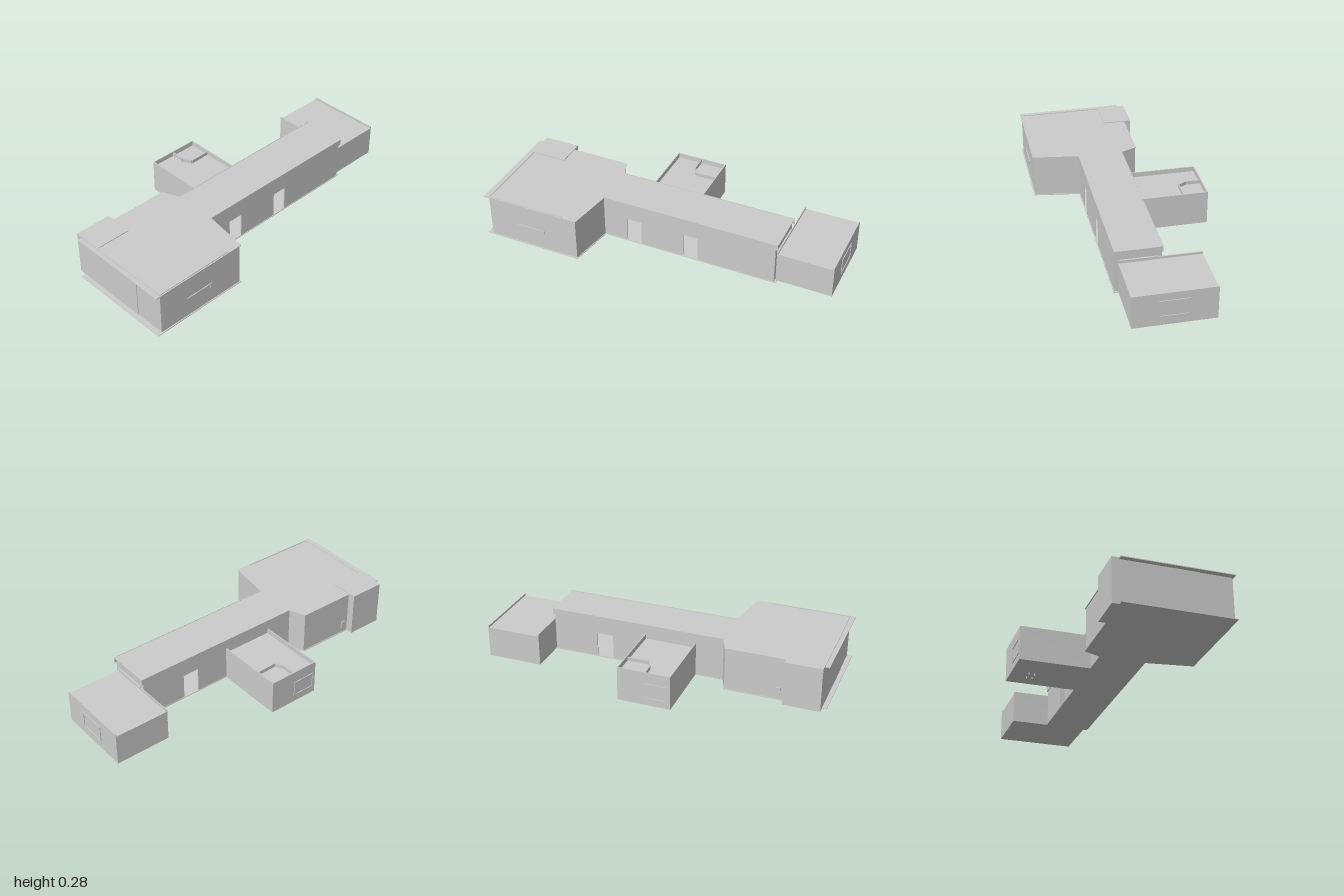
import * as THREE from 'three';

const material = new THREE.MeshStandardMaterial({ color: 0xcccccc, flatShading: true, side: THREE.DoubleSide });
const FLOOR = 0.012;

function add(parent, name, geometry, x = 0, y = 0, z = 0) {
  const mesh = new THREE.Mesh(geometry, material);
  mesh.name = name;
  mesh.position.set(x, y, z);
  parent.add(mesh);
  return mesh;
}

// Box given by its minimum and maximum corners
function block(parent, name, [x0, y0, z0], [x1, y1, z1]) {
  return add(parent, name, new THREE.BoxGeometry(x1 - x0, y1 - y0, z1 - z0),
    (x0 + x1) / 2, (y0 + y1) / 2, (z0 + z1) / 2);
}

function outline(points, Type = THREE.Shape) {
  return new Type(points.map(([x, y]) => new THREE.Vector2(x, y)));
}

// Flat slab from [x, z] corners, with its underside at y
function slab(parent, name, points, y, thickness) {
  const geometry = new THREE.ExtrudeGeometry(outline(points), { depth: thickness, bevelEnabled: false });
  geometry.rotateX(Math.PI / 2);
  return add(parent, name, geometry, 0, y + thickness, 0);
}

const rect = (x0, y0, x1, y1) => [[x0, y0], [x1, y0], [x1, y1], [x0, y1]];

// Upright wall from a to b; openings are [start, bottom, end, top] along the wall
function wall(parent, name, a, b, top, openings = [], bottom = FLOOR) {
  const dx = b[0] - a[0], dz = b[1] - a[1];
  const shape = outline(rect(0, bottom, Math.hypot(dx, dz), top));
  openings.forEach((o) => shape.holes.push(outline(rect(...o), THREE.Path)));
  const mesh = add(parent, name,
    new THREE.ExtrudeGeometry(shape, { depth: 0.006, bevelEnabled: false }), a[0], 0, a[1]);
  mesh.rotation.y = Math.atan2(-dz, dx);
  return mesh;
}

// Raised rectangular window frame, facing +z before rotation
function windowFrame(parent, name, width, height, x, y, z, turn) {
  const shape = outline(rect(-width / 2, -height / 2, width / 2, height / 2));
  const w = width / 2 - 0.007, h = height / 2 - 0.007;
  shape.holes.push(outline(rect(-w, -h, w, h), THREE.Path));
  add(parent, name, new THREE.ExtrudeGeometry(shape, { depth: 0.005, bevelEnabled: false }), x, y, z)
    .rotation.y = turn;
}

function buildHall() {
  const hall = new THREE.Group();
  hall.name = 'mainHall';
  const plan = [[0.47, 1], [-0.16, 1], [-0.16, 0.41], [-0.065, 0.37], [-0.065, -0.68],
    [0.2, -0.68], [0.2, 0.37], [0.47, 0.41]];
  slab(hall, 'hallFloor', plan, FLOOR, 0.004);
  slab(hall, 'hallRoof', plan, 0.268, 0.005);

  // Walls follow the roof outline, set slightly inside it
  const p = [[0.463, 0.97], [-0.155, 0.97], [-0.155, 0.412], [-0.061, 0.373], [-0.061, -0.668],
    [0.196, -0.668], [0.196, 0.375], [0.463, 0.415]];
  const doors = {
    3: [[0.673, 0.017, 0.773, 0.165]],
    5: [[0.458, 0.017, 0.548, 0.165], [0.808, 0.017, 0.898, 0.165]],
  };
  for (let i = 0; i < p.length; i++) {
    wall(hall, 'hallWall', p[i], p[(i + 1) % p.length], i === 0 ? 0.277 : 0.27, doors[i]);
  }
  block(hall, 'frontPanel', [-0.2, FLOOR, 0.966], [0.28, 0.277, 0.973]);
  block(hall, 'sideParapet', [0.457, 0.268, 0.5], [0.463, 0.277, 0.97]);

  // Fascia strips under the long roof edges
  for (const x of [-0.063, 0.198]) {
    block(hall, 'fascia', [x - 0.002, 0.24, -0.68], [x + 0.002, 0.275, 0.37]);
  }
  block(hall, 'endLedge', [-0.04, 0.205, -0.678], [0.17, 0.213, -0.666]);

  // Corner bay standing out on the right side
  block(hall, 'cornerBay', [-0.2, FLOOR, 0.76], [-0.03, 0.277, 0.97]);
  block(hall, 'bayFitting', [-0.163, 0.05, 0.71], [-0.154, 0.09, 0.735]);

  // Rail and bracket on the left wall
  block(hall, 'sideRail', [0.462, 0.13, 0.62], [0.468, 0.137, 0.79]);
  block(hall, 'railBracket', [0.462, 0.1, 0.62], [0.466, 0.137, 0.628]);
  return hall;
}

function buildWing() {
  const wing = new THREE.Group();
  wing.name = 'sideWing';
  const plan = rect(-0.47, -0.1, -0.062, 0.21);
  slab(wing, 'wingFloor', plan, FLOOR, 0.004);
  slab(wing, 'wingRoof', plan.map(([x, z]) => [x + (x < -0.2 ? 0.003 : 0), z * 0.98]), 0.182, 0.004);
  wall(wing, 'wingFrontWall', [-0.062, 0.21], [-0.47, 0.21], 0.215);
  wall(wing, 'wingEndWall', [-0.47, 0.21], [-0.47, -0.1], 0.215);
  wall(wing, 'wingBackWall', [-0.47, -0.1], [-0.062, -0.1], 0.215);
  windowFrame(wing, 'wingWindow', 0.14, 0.095, -0.469, 0.1, 0.125, -Math.PI / 2);

  // Low kerb around the roof corner
  const kerb = [[-0.464, 0.055], [-0.38, 0.055], [-0.333, 0.03], [-0.337, -0.094]];
  for (let i = 0; i < 3; i++) wall(wing, 'roofKerb', kerb[i], kerb[i + 1], 0.208, [], 0.184);

  // Small pegs under the floor
  for (const x of [-0.372, -0.34]) {
    for (const z of [-0.005, 0.05]) {
      add(wing, 'peg', new THREE.CylinderGeometry(0.004, 0.004, 0.014, 8), x, 0.007, z);
    }
  }
  return wing;
}

function buildBackRoom() {
  const room = new THREE.Group();
  room.name = 'backRoom';
  const plan = rect(-0.28, -0.996, 0.175, -0.67);
  slab(room, 'roomFloor', plan, FLOOR, 0.004);
  slab(room, 'roomRoof', plan, 0.19, 0.005);
  wall(room, 'roomFrontWall', [0.175, -0.67], [-0.28, -0.67], 0.208);
  wall(room, 'roomRightWall', [-0.28, -0.67], [-0.28, -0.996], 0.195);
  wall(room, 'roomBackWall', [-0.28, -0.996], [0.175, -0.996], 0.207);
  wall(room, 'roomLeftWall', [0.175, -0.996], [0.175, -0.67], 0.195);
  windowFrame(room, 'roomWindow', 0.165, 0.1, -0.048, 0.112, -0.995, Math.PI);
  return room;
}

export function createModel() {
  const model = new THREE.Group();
  model.name = 'building';
  model.add(buildHall(), buildWing(), buildBackRoom());
  return model;
}
